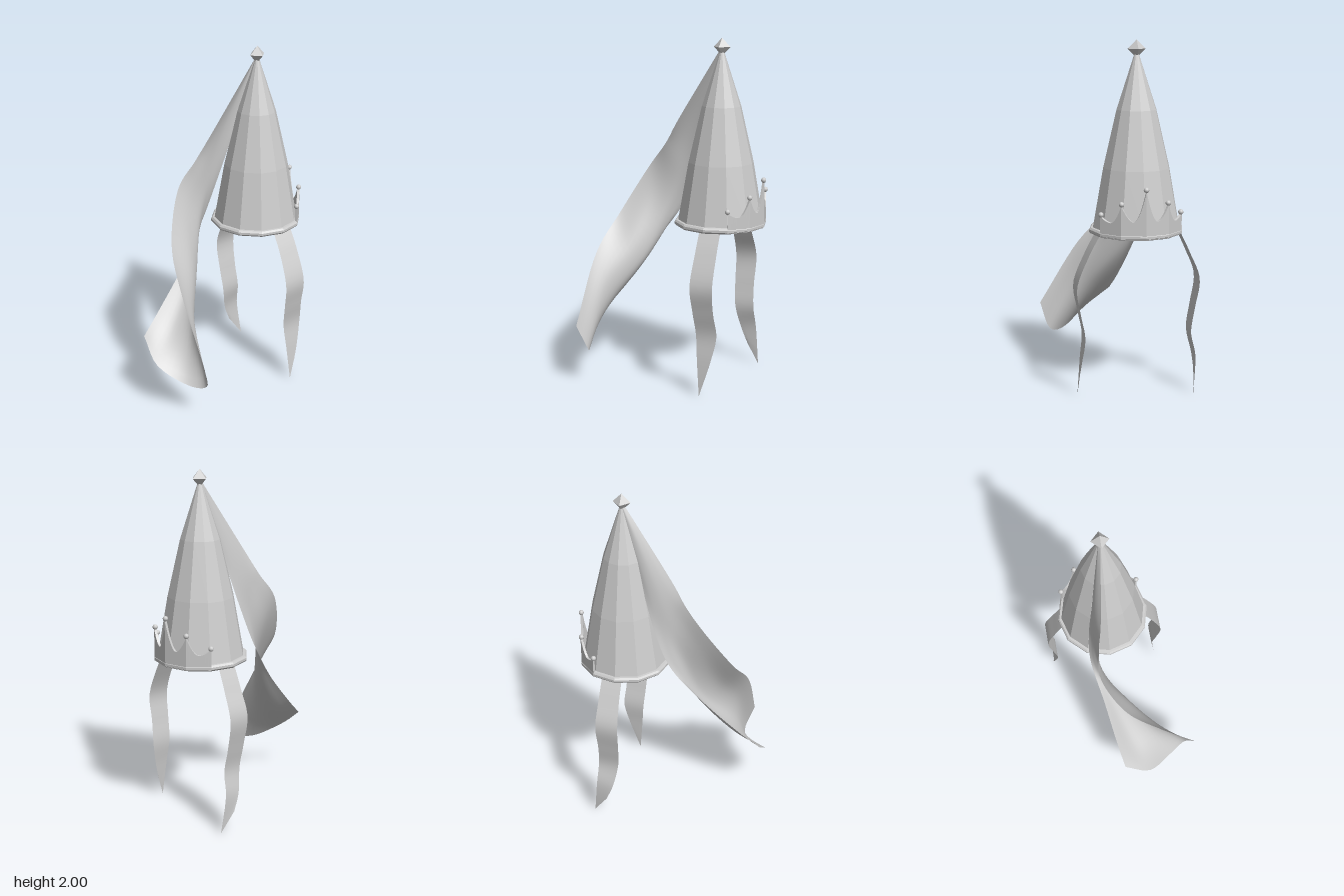
import * as THREE from 'three';

const CX = 0.28, CZ = -0.05; // axis of the hat
const V = (x, y, z) => new THREE.Vector3(x, y, z);
const flat = new THREE.MeshStandardMaterial({ color: 0xcccccc, flatShading: true });
const smooth = new THREE.MeshStandardMaterial({ color: 0xcccccc });
const cloth = new THREE.MeshStandardMaterial({ color: 0xcccccc, side: THREE.DoubleSide });

function add(parent, name, geometry, material) {
  const mesh = new THREE.Mesh(geometry, material);
  mesh.name = name;
  parent.add(mesh);
  return mesh;
}

// Grid surface from point(u, v), both in 0..1
function surface(point, nu, nv) {
  const pos = [], index = [];
  for (let j = 0; j <= nv; j++)
    for (let i = 0; i <= nu; i++) {
      pos.push(...point(i / nu, j / nv).toArray());
      if (i < nu && j < nv) {
        const a = j * (nu + 1) + i, b = a + nu + 1;
        index.push(a, b, a + 1, a + 1, b, b + 1);
      }
    }
  const g = new THREE.BufferGeometry();
  g.setAttribute('position', new THREE.Float32BufferAttribute(pos, 3));
  g.setIndex(index);
  g.computeVertexNormals();
  return g;
}

// Cloth through rows of cross-section points
function loft(rows, nu, nv) {
  const curve = pts => new THREE.CatmullRomCurve3(pts, false, 'catmullrom', 0.5);
  const across = rows.map(r => curve(r.map(p => V(...p))));
  return surface((u, v) => curve(across.map(c => c.getPoint(u))).getPoint(v), nu, nv);
}

// Twelve-sided turned part
function turned(profile) {
  const g = new THREE.LatheGeometry(profile.map(p => new THREE.Vector2(...p)), 12);
  return g.translate(CX, 0, CZ);
}

export function createModel() {
  const model = new THREE.Group();
  model.name = 'pointedHat';

  // Slightly bulging cone, closed below, with a rolled rim
  add(model, 'cone', turned([[0, 0.94], [0.25, 0.94], [0.245, 0.97], [0.187, 1.3],
    [0.112, 1.62], [0.01, 1.93], [0, 1.935]]), flat);
  add(model, 'rim', turned([[0.24, 0.938], [0.258, 0.936], [0.266, 0.945], [0.266, 0.958],
    [0.258, 0.968], [0.24, 0.97]]), flat);

  // Finial
  add(model, 'finial', new THREE.OctahedronGeometry(0.05), flat).position.set(CX, 1.95, CZ);

  // Crown: five peaks on the corners of the twelve-sided base, scalloped between
  const crown = new THREE.Group();
  crown.name = 'crown';
  model.add(crown);
  const peaks = [1.055, 1.125, 1.205, 1.125, 1.055];
  const corner = (i, r) => {
    const a = (i - 2) * Math.PI / 6;
    return V(CX + r * Math.cos(a), 0, CZ + r * Math.sin(a));
  };
  const topAt = s => {
    const i = Math.min(3, Math.floor(s)), t = s - i;
    const valley = 1.025 + (i === 1 || i === 2 ? 0.012 : 0);
    const peak = t < 0.5 ? peaks[i] : peaks[i + 1];
    return valley + (peak - valley) * Math.pow(Math.abs(1 - 2 * t), 1.8);
  };
  const panel = (s, r, y) => {
    const i = Math.min(3, Math.floor(s));
    return corner(i, r).lerp(corner(i + 1, r), s - i).setY(y);
  };
  // Closed strip: outer face, top edge, inner face
  const section = (s, v) => {
    const k = Math.round(v * 3);
    return panel(s, k < 2 ? 0.264 : 0.25, k === 0 || k === 3 ? 0.94 : topAt(s));
  };
  const band = surface((u, v) => section(u * 4, v), 64, 3);
  const bandMaterial = flat.clone();
  bandMaterial.side = THREE.DoubleSide;
  add(crown, 'crownBand', band, bandMaterial);
  peaks.forEach((y, i) => {
    const p = corner(i, 0.258);
    add(crown, 'crownBead', new THREE.SphereGeometry(0.015, 10, 8), smooth)
      .position.set(p.x, y + 0.008, p.z);
  });
  // Side ends of the band
  for (const i of [0, 4])
    add(crown, 'crownEnd', surface((u, v) => corner(i, 0.25 + 0.014 * u)
      .setY(0.94 + (peaks[i] - 0.94) * v), 1, 1), bandMaterial);

  // Hanging ribbons with slanted ends
  const ribbon = (name, rows, end) => add(model, name, loft(
    [...rows.map(([y, l, r, z]) => [[l, y, z], [r, y, z]]), end], 2, 28), cloth);
  ribbon('frontRibbon', [
    [0.95, 0.24, 0.365, 0.165], [0.82, 0.24, 0.368, 0.235], [0.65, 0.235, 0.37, 0.3],
    [0.5, 0.245, 0.37, 0.282], [0.36, 0.258, 0.382, 0.258], [0.22, 0.27, 0.355, 0.272],
  ], [[0.29, 0.005, 0.29], [0.33, 0.13, 0.282]]);
  ribbon('backRibbon', [
    [0.95, 0.245, 0.36, -0.28], [0.82, 0.25, 0.37, -0.34], [0.67, 0.25, 0.38, -0.395],
    [0.5, 0.255, 0.375, -0.37], [0.36, 0.265, 0.382, -0.348], [0.22, 0.295, 0.393, -0.372],
  ], [[0.335, 0.12, -0.378], [0.415, 0.005, -0.355]]);

  // Veil: narrow at the tip, twisting into a wide fold at the hem
  add(model, 'veil', loft([
    [[0.285, 1.92, -0.06], [0.28, 1.925, -0.06], [0.275, 1.93, -0.06], [0.27, 1.93, -0.055], [0.265, 1.93, -0.05]],
    [[0.165, 1.5, -0.115], [0.13, 1.5, -0.125], [0.09, 1.51, -0.125], [0.045, 1.52, -0.115], [0, 1.53, -0.1]],
    [[0.075, 1.2, -0.16], [0.04, 1.21, -0.15], [0, 1.25, -0.14], [-0.05, 1.31, -0.13], [-0.1, 1.37, -0.13]],
    [[-0.02, 0.98, -0.17], [-0.05, 0.98, -0.145], [-0.09, 1.01, -0.115], [-0.16, 1.09, -0.115], [-0.22, 1.21, -0.14]],
    [[-0.2, 0.74, -0.125], [-0.175, 0.71, -0.07], [-0.185, 0.72, -0.01], [-0.25, 0.8, 0.025], [-0.35, 0.95, -0.02]],
    [[-0.4, 0.53, -0.085], [-0.365, 0.45, 0.02], [-0.325, 0.47, 0.13], [-0.345, 0.57, 0.18], [-0.418, 0.73, 0.17]],
    [[-0.53, 0.41, -0.055], [-0.545, 0.29, 0.1], [-0.44, 0.195, 0.25], [-0.38, 0.21, 0.35], [-0.43, 0.36, 0.4]],
  ], 20, 40), cloth);

  return model;
}
